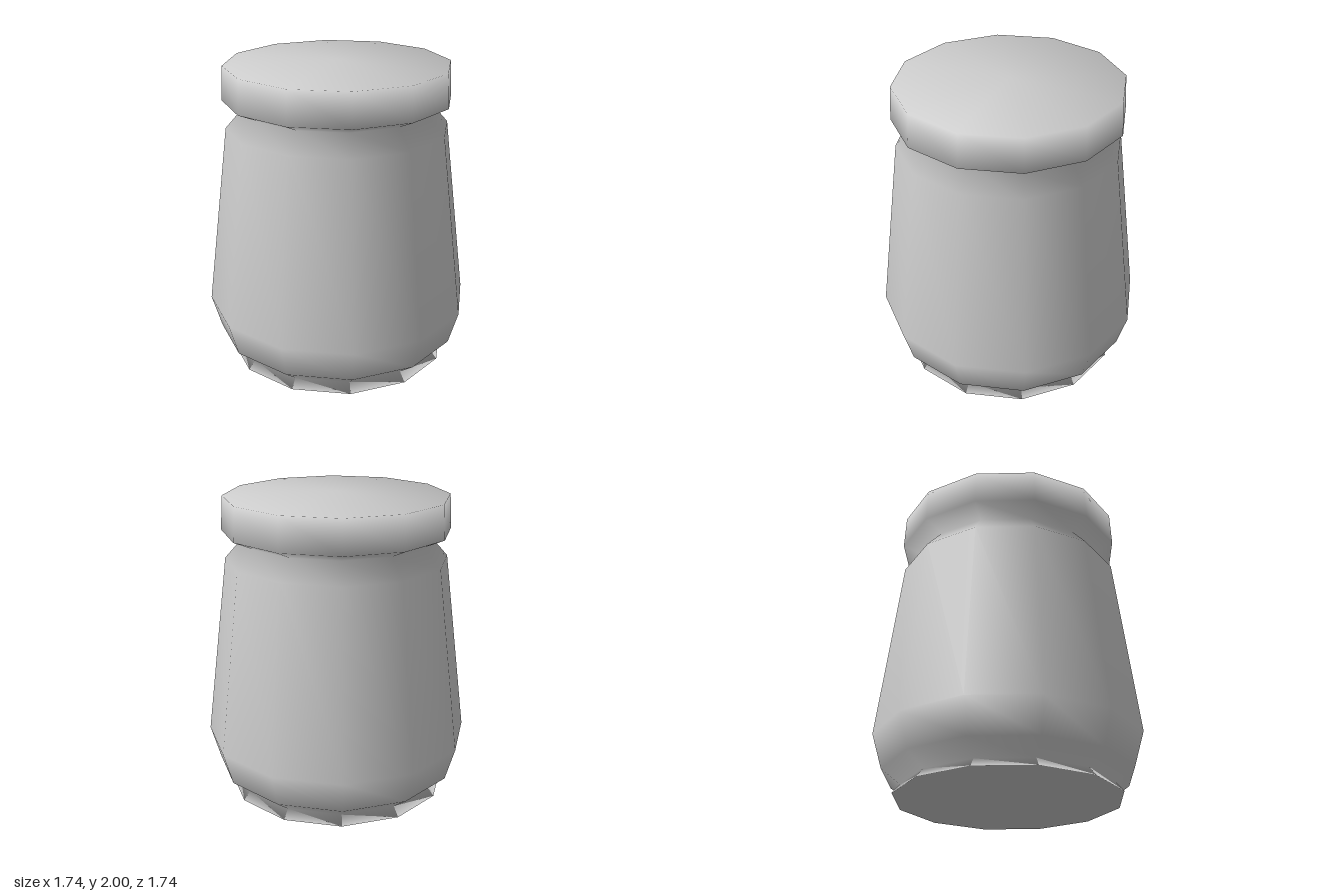
import * as THREE from 'three';
import { mergeVertices } from 'three/addons/utils/BufferGeometryUtils.js';

export function createModel() {
  const group = new THREE.Group();
  group.name = 'jar';

  // Profile (radius, height), from the base centre up to the lid centre
  const profile = [
    [0, 0], [0.733, 0],                        // base
    [0.685, 0.058], [0.807, 0.15],             // foot groove and lower bevel
    [0.872, 0.37], [0.723, 1.572],             // tapered body and shoulder
    [0.61, 1.70],                              // neck groove
    [0.742, 1.757], [0.73, 1.977], [0, 2],     // lid skirt and shallow dome
  ].map(([r, y]) => new THREE.Vector2(r, y));

  // Twelve-sided turning, with vertices shared so that shading is smooth throughout
  const lathe = new THREE.LatheGeometry(profile, 12);
  lathe.deleteAttribute('normal');
  lathe.deleteAttribute('uv');
  const geometry = mergeVertices(lathe, 1e-4);
  geometry.computeVertexNormals();

  const jar = new THREE.Mesh(geometry, new THREE.MeshStandardMaterial({ color: 0xcccccc }));
  jar.name = 'jarBodyAndLid';
  group.add(jar);
  return group;
}
